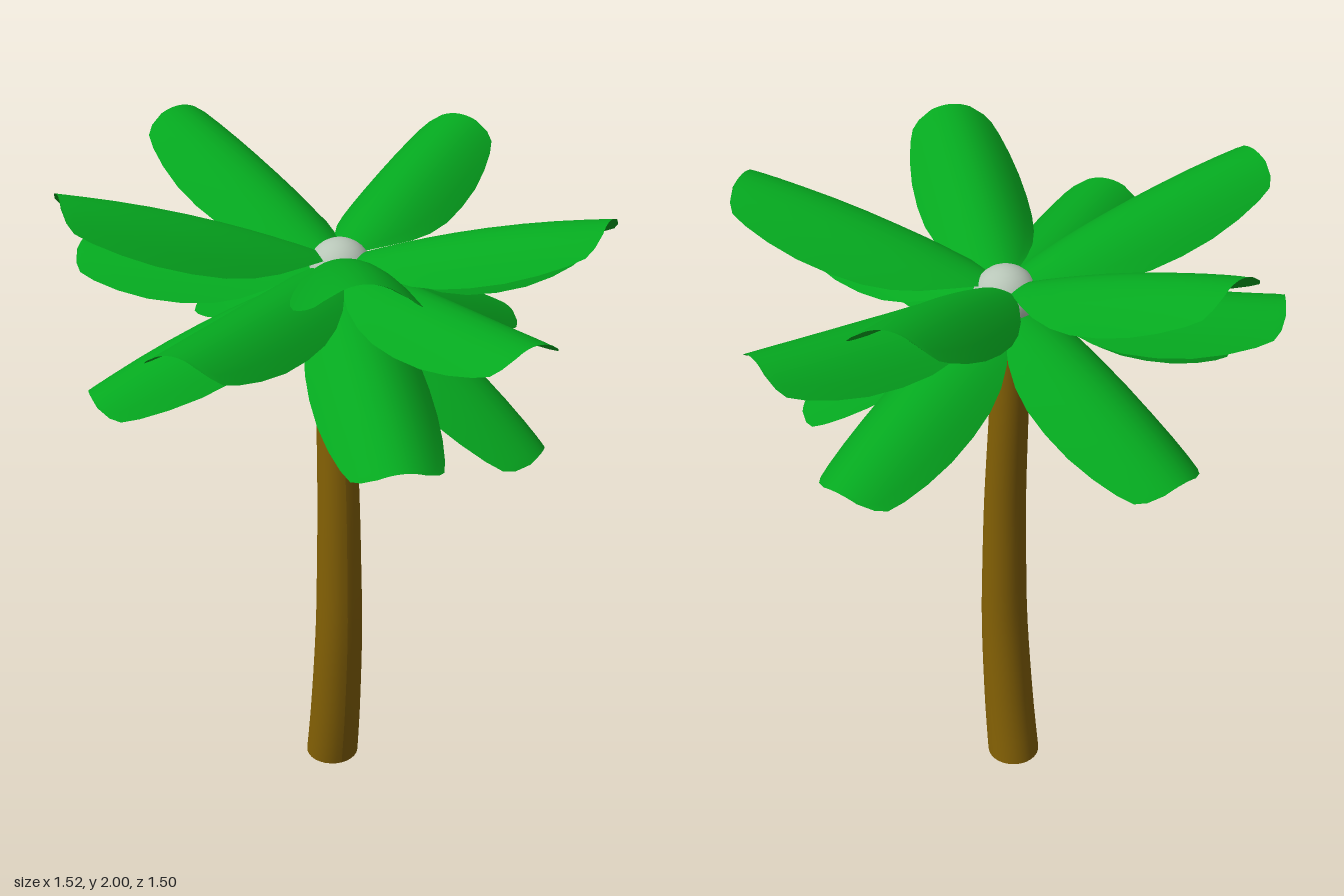
import * as THREE from 'three';

const leafMaterial = new THREE.MeshStandardMaterial({ color: 0x05a81f, side: THREE.DoubleSide });
const trunkMaterial = new THREE.MeshStandardMaterial({ color: 0x836004, side: THREE.DoubleSide });
const crownMaterial = new THREE.MeshStandardMaterial({ color: 0xb8c6b8 });

// Leaf outline: [fraction of length, half width]
const OUTLINE = [
  [0.03, 0.02], [0.08, 0.05], [0.15, 0.088], [0.24, 0.124], [0.33, 0.146], [0.43, 0.159], [0.55, 0.164],
  [0.68, 0.162], [0.8, 0.152], [0.9, 0.137], [0.96, 0.122], [0.985, 0.1], [1, 0.06],
];
const ACROSS = 10;
const ROOT = { x: 0.01, z: -0.02 };

// An arched sheet reaching from the crown to (tipX, tipZ); slope and bend shape its ridge
function leaf(name, tipX, tipZ, rootY, slope, bend) {
  const dx = tipX - ROOT.x, dz = tipZ - ROOT.z;
  const length = Math.hypot(dx, dz);
  const positions = [], index = [];
  OUTLINE.forEach(([t, half], row) => {
    const r = t * length;
    const pitch = Math.atan(slope + 2 * bend * r);
    for (let i = 0; i <= ACROSS; i++) {
      const w = half * (1 - (2 * i) / ACROSS);
      const sag = 3.9 * w * w;
      positions.push(
        r + sag * Math.sin(pitch),
        rootY + slope * r + bend * r * r - sag * Math.cos(pitch),
        w,
      );
      if (row && i) {
        const d = row * (ACROSS + 1) + i, c = d - 1, b = d - ACROSS - 1, a = b - 1;
        index.push(a, c, b, b, c, d);
      }
    }
  });
  const geometry = new THREE.BufferGeometry();
  geometry.setAttribute('position', new THREE.Float32BufferAttribute(positions, 3));
  geometry.setIndex(index);
  geometry.computeVertexNormals();
  const mesh = new THREE.Mesh(geometry, leafMaterial);
  mesh.name = name;
  mesh.position.set(ROOT.x, 0, ROOT.z);
  mesh.rotation.y = -Math.atan2(dz, dx);
  return mesh;
}

// Tapered open trunk bent along a gentle curve in z
function trunk() {
  const height = 1.66;
  const curve = (points) => new THREE.SplineCurve(points.map(([y, v]) => new THREE.Vector2(y, v))).getPoints(60);
  const centres = curve([
    [0, -0.04], [0.2, -0.01], [0.5, 0.018], [0.75, 0.02], [1, 0.014], [1.35, -0.01], [height, -0.025],
  ]);
  const radii = curve([[0, 0.083], [0.5, 0.073], [1, 0.063], [1.4, 0.056], [height, 0.052]]);
  // Value of a curve at height y
  const at = (points, y) => {
    const i = Math.max(1, points.findIndex((p) => p.x >= y - 1e-6));
    const a = points[i - 1], b = points[i];
    return a.y + ((b.y - a.y) * (y - a.x)) / (b.x - a.x);
  };
  const geometry = new THREE.CylinderGeometry(1, 1, height, 28, 20, true);
  geometry.translate(0, height / 2, 0);
  const p = geometry.attributes.position;
  for (let i = 0; i < p.count; i++) {
    const y = THREE.MathUtils.clamp(p.getY(i), 0, height);
    const r = at(radii, y);
    p.setXYZ(i, p.getX(i) * r - 0.008, y, p.getZ(i) * r + at(centres, y));
  }
  geometry.computeVertexNormals();
  const mesh = new THREE.Mesh(geometry, trunkMaterial);
  mesh.name = 'trunk';
  return mesh;
}

export function createModel() {
  const group = new THREE.Group();
  group.name = 'palmTree';
  group.add(trunk());

  // Round heart of the crown
  const heart = new THREE.Mesh(new THREE.SphereGeometry(0.092, 24, 16), crownMaterial);
  heart.name = 'crownHeart';
  heart.position.set(0.01, 1.69, -0.02);
  group.add(heart);

  // Leaf tiers: ridge height at the root, then [tip x, tip z, slope, bend] per leaf
  const tiers = {
    upperLeaf: [1.72, [
      [-0.755, -0.085, 0.48, -0.18], [-0.235, -0.72, 0.5, -0.17], [0.575, -0.455, 0.46, -0.18],
      [0.53, 0.54, 0.44, -0.18], [-0.21, 0.7, 0.44, -0.18],
    ]],
    middleLeaf: [1.72, [
      [0.76, -0.04, 0, 0], [0.24, 0.71, 0, 0], [-0.61, 0.44, 0, 0], [-0.61, -0.46, 0, 0],
    ]],
    lowerLeaf: [1.69, [
      [-0.72, -0.05, -0.2, -0.24], [-0.125, 0.74, -0.16, -0.2], [0.65, -0.265, -0.24, -0.26],
      [-0.14, -0.685, -0.23, -0.26], [0.435, 0.435, -0.35, -0.58],
    ]],
  };
  for (const [name, [rootY, leaves]] of Object.entries(tiers)) {
    leaves.forEach(([x, z, slope, bend], i) => group.add(leaf(`${name}${i + 1}`, x, z, rootY, slope, bend)));
  }
  return group;
}
